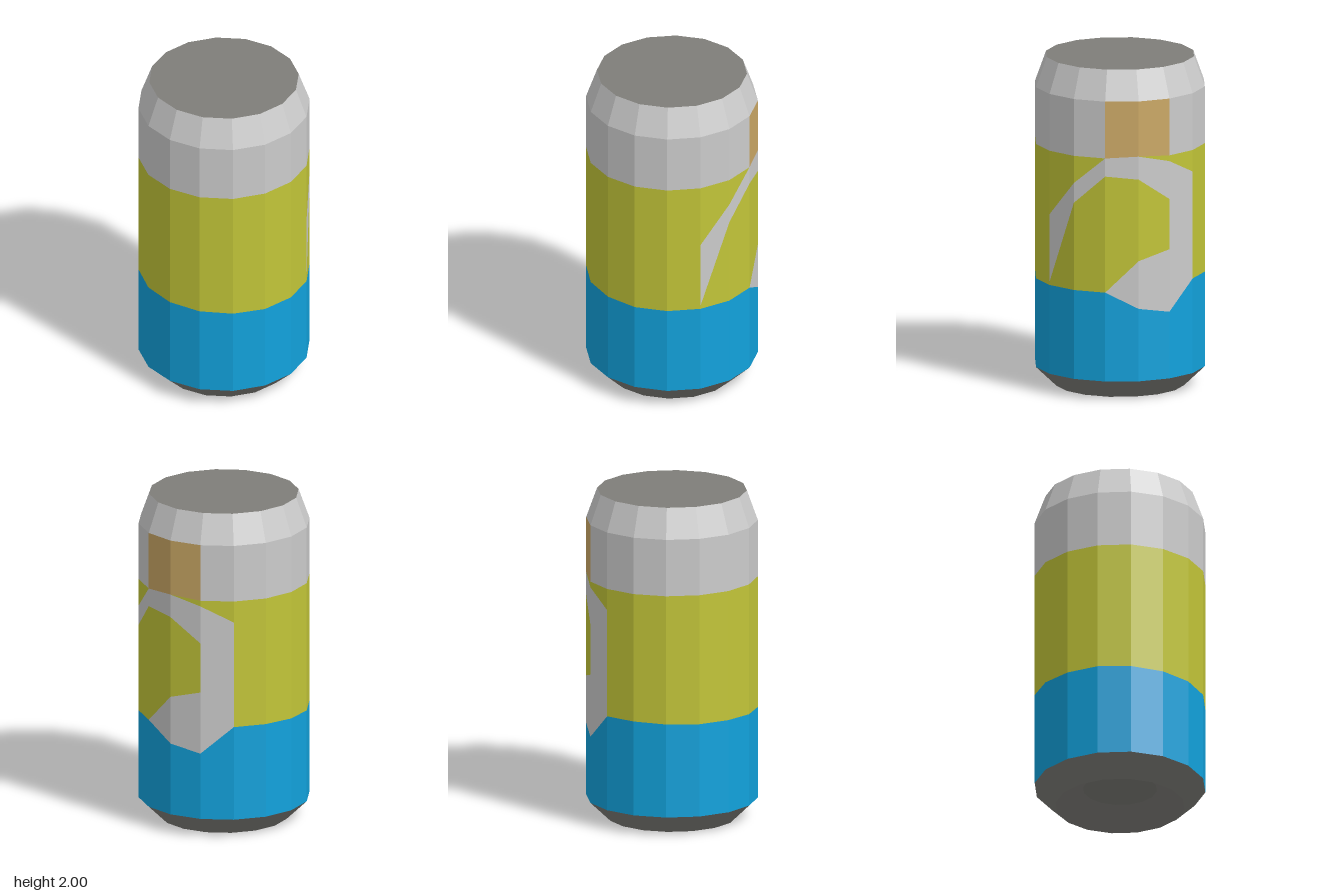
import * as THREE from 'three';

const SIDES = 16, R = 0.51;
const SHOULDER = 1.82, BASE = 0.12;
const COLORS = { silver: 0xcccccc, metal: 0x7f7e79, lime: 0xc2c538, blue: 0x12a2dc, tan: 0xcca966 };

const mat = (name) => new THREE.MeshStandardMaterial({ color: COLORS[name], flatShading: true });

// Point on the wall at corner k (0 = front, 4 = +x, 8 = back)
function wall(k, y) {
  const a = (k / SIDES) * Math.PI * 2;
  return [R * Math.sin(a), y, R * Math.cos(a)];
}

// Strip of wall facets starting at corner `start`; lo and hi hold one height per corner
function strip(start, lo, hi) {
  const pos = [];
  for (let i = 0; i < lo.length - 1; i++) {
    const a = wall(start + i, lo[i]), b = wall(start + i + 1, lo[i + 1]);
    const c = wall(start + i + 1, hi[i + 1]), d = wall(start + i, hi[i]);
    if (hi[i + 1] > lo[i + 1]) pos.push(...a, ...b, ...c);
    if (hi[i] > lo[i]) pos.push(...a, ...c, ...d);
  }
  const geo = new THREE.BufferGeometry();
  geo.setAttribute('position', new THREE.Float32BufferAttribute(pos, 3));
  geo.computeVertexNormals();
  return geo;
}

export function createModel() {
  const can = new THREE.Group();
  can.name = 'drinkCan';
  const add = (name, geo, color) => {
    const mesh = new THREE.Mesh(geo, mat(color));
    mesh.name = name;
    can.add(mesh);
    return mesh;
  };
  const flat = (n, y) => new Array(n).fill(y);

  // Border heights by corner, closed by repeating the first
  const blueTop = [0.66, 0.66, 0.66, 0.66, 0.56, 0.525, 0.695, 0.695,
    0.69, 0.685, 0.685, 0.68, 0.675, 0.67, 0.665, 0.66, 0.66];
  const limeTop = flat(SIDES + 1, 1.475);
  limeTop[4] = 1.485;

  // Blue lower wall
  add('lowerBand', strip(0, flat(SIDES + 1, BASE), blueTop), 'blue');

  // Lime middle wall: plain part, above the arch and inside the arch
  add('middleBandBack', strip(6, blueTop.slice(6), limeTop.slice(6)), 'lime');
  add('middleBandFront', strip(0, blueTop.slice(0, 2), limeTop.slice(0, 2)), 'lime');
  const archOuter = [1.09, 1.31, 1.475, 1.485, 1.44, 1.345];
  const archInner = [0.68, 1.19, 1.365, 1.345, 1.21];
  const innerBottom = [0.66, 0.66, 0.66, 0.85, 0.905];
  add('middleBandAboveArch', strip(1, archOuter, limeTop.slice(1, 7)), 'lime');
  add('middleBandInsideArch', strip(1, innerBottom, archInner), 'lime');

  // Silver arch on the +x side
  add('archTop', strip(1, archInner, archOuter.slice(0, 5)), 'silver');
  add('archColumn', strip(5, blueTop.slice(5, 7), archOuter.slice(4)), 'silver');
  add('archFoot', strip(3, blueTop.slice(3, 6), innerBottom.slice(2)), 'silver');

  // Upper wall, with a tan panel over two facets
  add('upperBand', strip(5, limeTop.slice(5), flat(12, SHOULDER)), 'silver');
  add('upperBandFront', strip(0, limeTop.slice(0, 4), flat(4, SHOULDER)), 'silver');
  add('sidePanel', strip(3, limeTop.slice(3, 6), flat(3, SHOULDER)), 'tan');

  // Tapered shoulder and flat lid
  const taper = new THREE.CylinderGeometry(0.445, R, 2 - SHOULDER, SIDES, 1, true);
  add('shoulder', taper, 'silver').position.y = (2 + SHOULDER) / 2;
  const lid = add('lid', new THREE.CircleGeometry(0.445, SIDES), 'metal');
  lid.rotation.x = -Math.PI / 2;
  lid.position.y = 2;

  // Bevelled base with a recessed underside
  const profile = [[0, 0.11], [0.22, 0.11], [0.385, 0], [R, BASE]];
  add('base', new THREE.LatheGeometry(profile.map((p) => new THREE.Vector2(...p)), SIDES), 'metal');

  return can;
}
